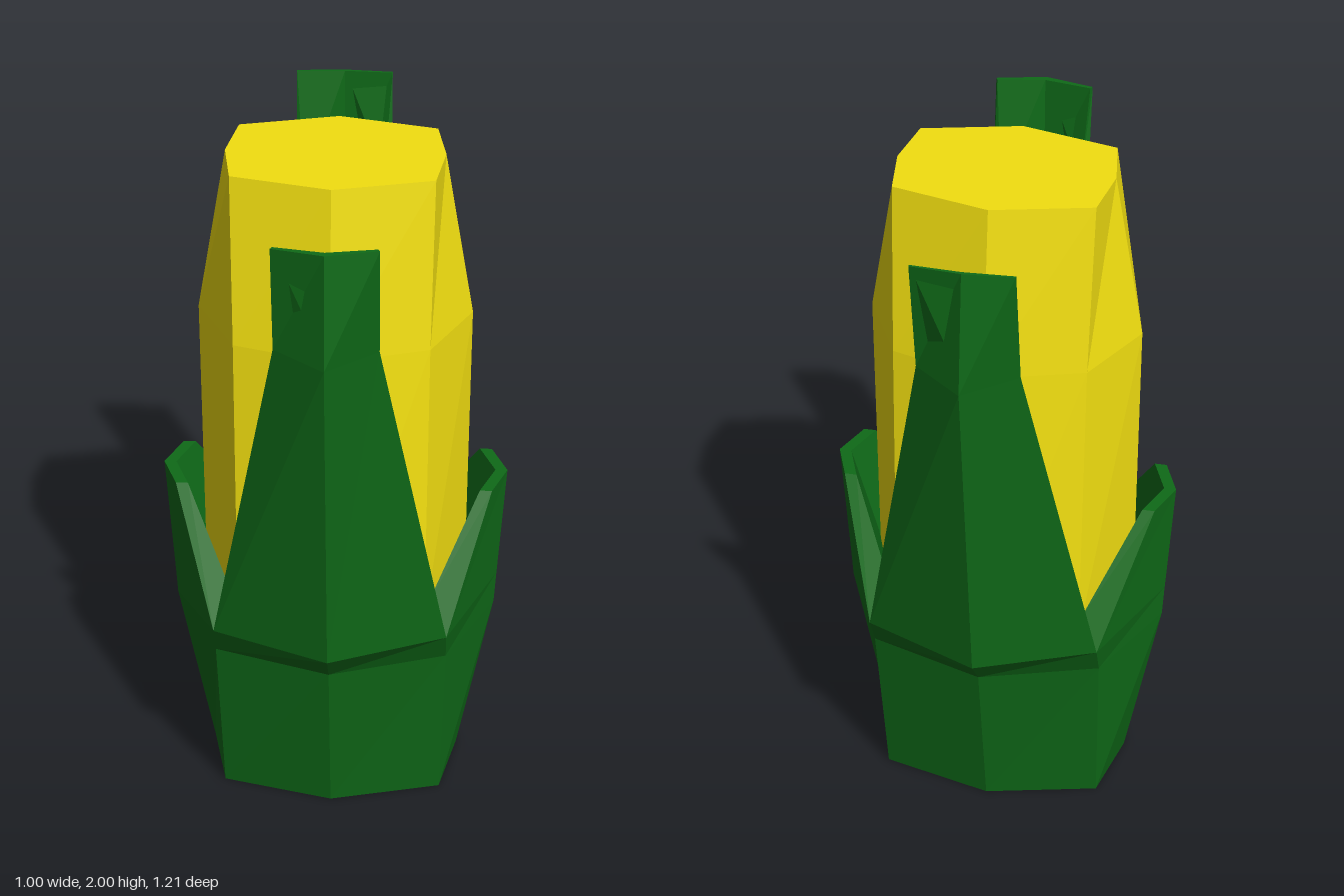
import * as THREE from 'three';

// Skin equal-sized rings (counterclockwise from above, listed bottom to top) and cap both ends
function loft(rings) {
  const pos = [];
  const quad = (a, b, c, d) => pos.push(...a, ...b, ...c, ...a, ...c, ...d);
  const n = rings[0].length;
  for (let r = 0; r < rings.length - 1; r++) {
    for (let i = 0; i < n; i++) {
      const j = (i + 1) % n;
      quad(rings[r][i], rings[r][j], rings[r + 1][j], rings[r + 1][i]);
    }
  }
  const lo = rings[0], hi = rings[rings.length - 1];
  for (let i = 0; i < n / 2 - 1; i++) {
    const k = n - 1 - i;
    quad(hi[i], hi[i + 1], hi[k - 1], hi[k]);
    quad(lo[k], lo[k - 1], lo[i + 1], lo[i]);
  }
  const geo = new THREE.BufferGeometry();
  geo.setAttribute('position', new THREE.Float32BufferAttribute(pos, 3));
  geo.computeVertexNormals();
  return geo;
}

// Eight-sided cob ring: side point, diagonal point, front point
const cobRing = ([y, rx, dx, dz, rz]) => [
  [rx, y, 0], [dx, y, -dz], [0, y, -rz], [-dx, y, -dz],
  [-rx, y, 0], [-dx, y, dz], [0, y, rz], [dx, y, dz],
];

// Husk ring: outer and inner chevrons, each [y, half width, edge depth, centre depth]
const huskRing = ([[y, w, e, c], [yi, wi, ei, ci]]) => [
  [-w, y, e], [0, y, c], [w, y, e], [wi, yi, ei], [0, yi, ci], [-wi, yi, ei],
];

export function createModel() {
  const group = new THREE.Group();
  const green = new THREE.MeshStandardMaterial({ color: 0x0f6a18, flatShading: true, side: THREE.DoubleSide });
  const yellow = new THREE.MeshStandardMaterial({ color: 0xf2df10, flatShading: true });

  const add = (name, rings, material, turn = 0) => {
    const mesh = new THREE.Mesh(loft(rings), material);
    mesh.name = name;
    mesh.rotation.y = turn;
    group.add(mesh);
  };

  // Tapered cob
  add('cob', [
    [0.1, 0.25, 0.18, 0.15, 0.22],
    [0.64, 0.385, 0.27, 0.275, 0.385],
    [1.52, 0.385, 0.27, 0.225, 0.31],
    [2, 0.3, 0.275, 0.165, 0.235],
  ].map(cobRing), yellow);

  // Tall husk leaves at front and back, with a ledge above the base
  const tall = [
    [[0, 0.325, 0.22, 0.3], [0, 0, 0, 0]],
    [[0.54, 0.335, 0.29, 0.4], [0.54, 0.27, 0.25, 0.36]],
    [[0.64, 0.335, 0.34, 0.48], [0.72, 0.28, 0.285, 0.39]],
    [[1.66, 0.14, 0.49, 0.605], [1.66, 0.115, 0.48, 0.55]],
  ];
  const frontTip = [[1.98, 0.14, 0.54, 0.575], [1.98, 0.135, 0.53, 0.555]];
  const backTip = [[2, 0.138, 0.55, 0.56], [2, 0.138, 0.543, 0.55]];
  add('frontHuskLeaf', [...tall, frontTip].map(huskRing), green);
  add('backHuskLeaf', [...tall, backTip].map(huskRing), green, Math.PI);

  // Short husk leaves at the sides
  const short = [
    [[0, 0.22, 0.325, 0.375], [0, 0, 0, 0]],
    [[0.54, 0.29, 0.335, 0.475], [0.54, 0.25, 0.27, 0.36]],
    [[0.64, 0.34, 0.335, 0.48], [0.72, 0.285, 0.28, 0.39]],
    [[1, 0.115, 0.455, 0.5], [1, 0.115, 0.42, 0.465]],
  ].map(huskRing);
  add('leftHuskLeaf', short, green, Math.PI / 2);
  add('rightHuskLeaf', short, green, -Math.PI / 2);

  return group;
}
